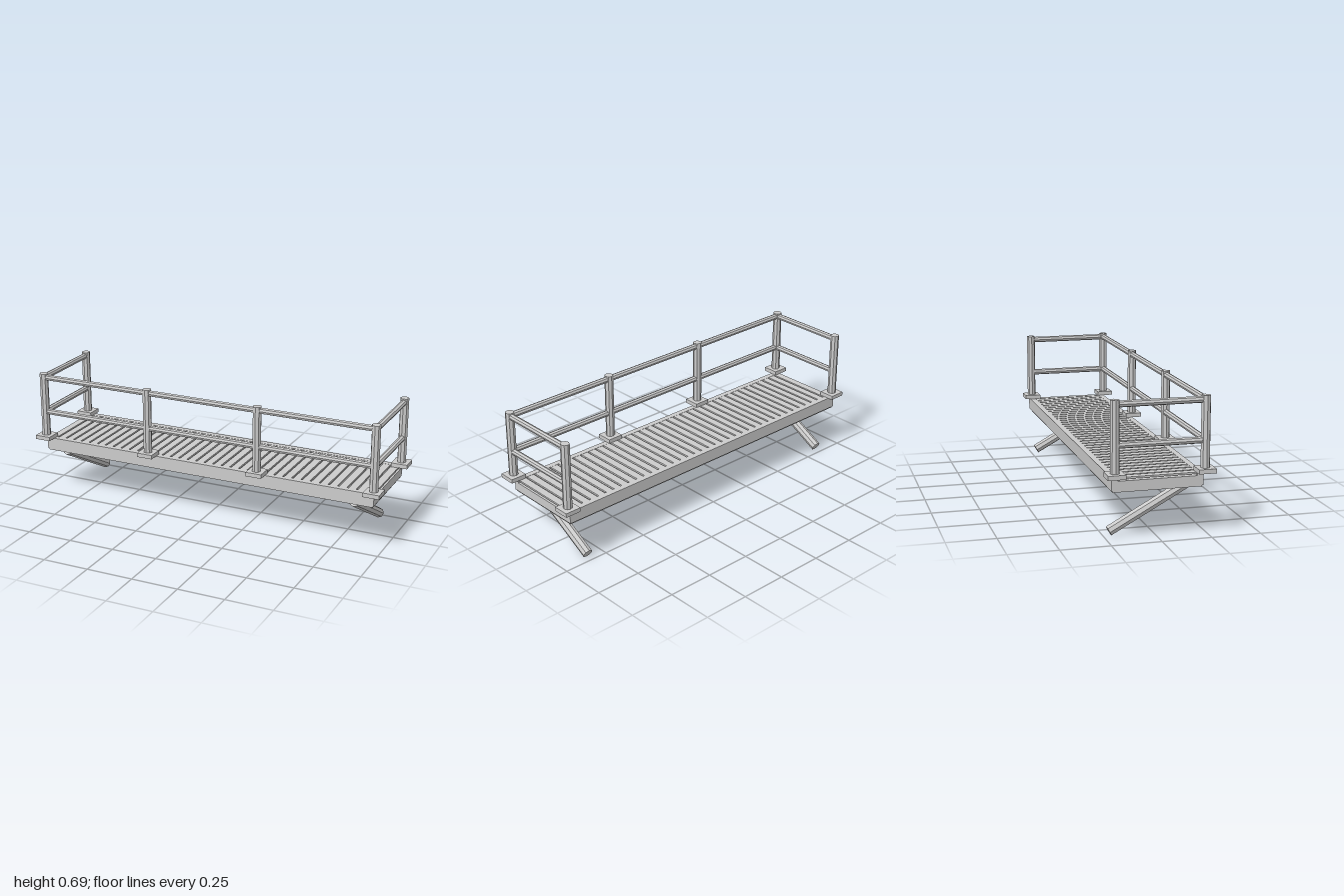
import * as THREE from 'three';

const material = new THREE.MeshStandardMaterial({ color: 0xcccccc, flatShading: true });

export function createModel() {
  const model = new THREE.Group();

  const add = (name, geometry) => {
    const mesh = new THREE.Mesh(geometry, material);
    mesh.name = name;
    model.add(mesh);
    return mesh;
  };

  // Box given by its limits on each axis
  const box = (name, x0, x1, y0, y1, z0, z1) =>
    add(name, new THREE.BoxGeometry(x1 - x0, y1 - y0, z1 - z0))
      .position.set((x0 + x1) / 2, (y0 + y1) / 2, (z0 + z1) / 2);

  // Eight-sided bar between two points
  const bar = (name, from, to, radius) => {
    const a = new THREE.Vector3(...from);
    const b = new THREE.Vector3(...to);
    const dir = b.clone().sub(a);
    const mesh = add(name, new THREE.CylinderGeometry(radius, radius, dir.length(), 8));
    mesh.position.copy(a).add(b).multiplyScalar(0.5);
    mesh.quaternion.setFromUnitVectors(new THREE.Vector3(0, 1, 0), dir.normalize());
  };

  // Deck: underside plate, body and raised long rims
  const half = 0.956;
  box('undersidePlate', -half + 0.005, half - 0.005, 0.247, 0.256, -0.232, 0.213);
  box('deckBody', -half, half, 0.255, 0.303, -0.238, 0.217);
  box('frontRim', -half, half, 0.303, 0.32, 0.187, 0.217);
  box('backRim', -half, half, 0.303, 0.32, -0.238, -0.207);

  // Slats raised just above the deck body
  const slats = 38;
  const pitch = 0.0503;
  for (let i = 0; i < slats; i++) {
    const x = (i - (slats - 1) / 2) * pitch;
    box('slat', x - 0.02, x + 0.02, 0.31, 0.319, -0.207, 0.187);
  }

  // Posts on square feet
  const px = 0.956;
  const mx = 0.318;
  const zf = 0.2245;
  const zb = -0.2225;
  const posts = [[-px, zf], [-mx, zf], [mx, zf], [px, zf], [-px, zb], [px, zb]];
  for (const [x, z] of posts) {
    box('postFoot', x - 0.044, x + 0.044, 0.32, 0.342, z - 0.044, z + 0.044);
    bar('post', [x, 0.34, z], [x, 0.695, z], 0.0235);
  }

  // Two heights of railing along the front and both ends
  for (const y of [0.477, 0.674]) {
    for (const [a, b] of [[-px, -mx], [-mx, mx], [mx, px]]) {
      bar('frontRail', [a, y, zf], [b, y, zf], 0.0165);
    }
    for (const x of [-px, px]) bar('endRail', [x, y, zb], [x, y, zf], 0.0165);
  }

  // Diagonal braces running down to the back
  for (const x of [-0.845, 0.845]) {
    bar('brace', [x, 0.0265, -0.2225], [x, 0.2535, 0.1925], 0.027);
  }

  return model;
}
